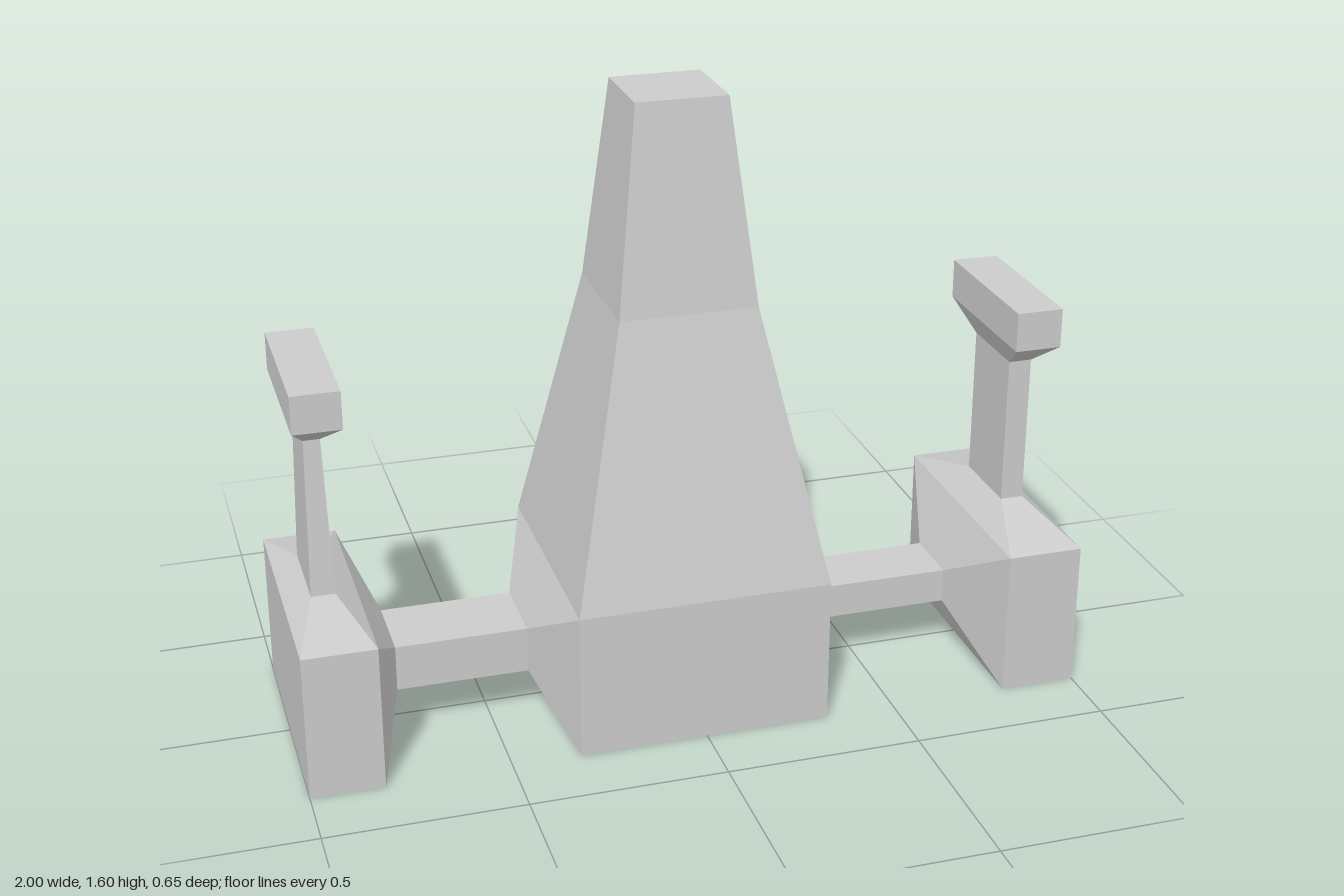
import * as THREE from 'three';

const material = new THREE.MeshStandardMaterial({ color: 0xcccccc, flatShading: true });

// Lofts rectangles along an axis. Sections ascend as [t, aMin, aMax, bMin, bMax],
// with (a, b) = (z, x) along y, or (y, z) along x. Ends are capped on request.
function loft(name, axis, sections, capStart = false, capEnd = false) {
  const place = axis === 'y' ? (t, a, b) => [b, t, a] : (t, a, b) => [t, a, b];
  const rings = sections.map(([t, a0, a1, b0, b1]) =>
    [[a0, b0], [a1, b0], [a1, b1], [a0, b1]].map(([a, b]) => place(t, a, b)));
  const positions = [];
  const quad = (p, q, r, s) => positions.push(...p, ...q, ...r, ...p, ...r, ...s);
  for (let k = 0; k + 1 < rings.length; k++) {
    const lo = rings[k], hi = rings[k + 1];
    for (let i = 0; i < 4; i++) {
      const j = (i + 1) % 4;
      quad(lo[i], lo[j], hi[j], hi[i]);
    }
  }
  if (capStart) quad(...[...rings[0]].reverse());
  if (capEnd) quad(...rings[rings.length - 1]);
  const geometry = new THREE.BufferGeometry();
  geometry.setAttribute('position', new THREE.Float32BufferAttribute(positions, 3));
  geometry.computeVertexNormals();
  const mesh = new THREE.Mesh(geometry, material);
  mesh.name = name;
  return mesh;
}

const H = 0.38;   // height of the base blocks
const D = 0.325;  // half depth of the base blocks
const block = (x) => [x, 0, H, -D, D];

export function createModel() {
  const group = new THREE.Group();
  group.name = 'towerWithSidePods';

  // Central base block and tapering tower
  group.add(
    loft('towerBase', 'x', [block(-0.325), block(0.32)]),
    loft('tower', 'y', [
      [H, -D, D, -0.325, 0.32],
      [1.08, -0.175, 0.175, -0.178, 0.17],
      [1.595, -0.115, 0.115, -0.12, 0.11],
    ], false, true),
  );

  // Connecting arms, flared at both ends
  const leftBeam = (x) => [x, 0.145, 0.235, -0.085, 0.08];
  const rightBeam = (x) => [x, 0.13, 0.25, -0.1, 0.1];
  group.add(
    loft('leftArm', 'x', [block(0.32), leftBeam(0.385), leftBeam(0.73), block(0.805)]),
    loft('rightArm', 'x', [block(-0.815), rightBeam(-0.74), rightBeam(-0.405), block(-0.325)]),
  );

  // Side pods
  group.add(
    loft('leftPod', 'x', [block(0.805), block(1)], false, true),
    loft('rightPod', 'x', [block(-1), block(-0.815)], true, false),
  );

  // Posts with crossbars: straight on the left, slightly tapered on the right
  group.add(
    loft('leftPost', 'y', [
      [H, -D, D, 0.805, 1],
      [0.437, -0.105, 0.105, 0.872, 0.932],
      [0.825, -0.105, 0.105, 0.872, 0.932],
      [0.895, -0.204, 0.204, 0.842, 0.962],
      [0.997, -0.204, 0.204, 0.842, 0.962],
    ], false, true),
    loft('rightPost', 'y', [
      [H, -D, D, -1, -0.815],
      [0.43, -0.115, 0.115, -0.94, -0.88],
      [0.832, -0.09, 0.09, -0.931, -0.89],
      [0.9, -0.207, 0.204, -0.97, -0.85],
      [0.997, -0.207, 0.204, -0.97, -0.85],
    ], false, true),
  );

  // Underside plates of the three base blocks are closed by the block lofts
  return group;
}
